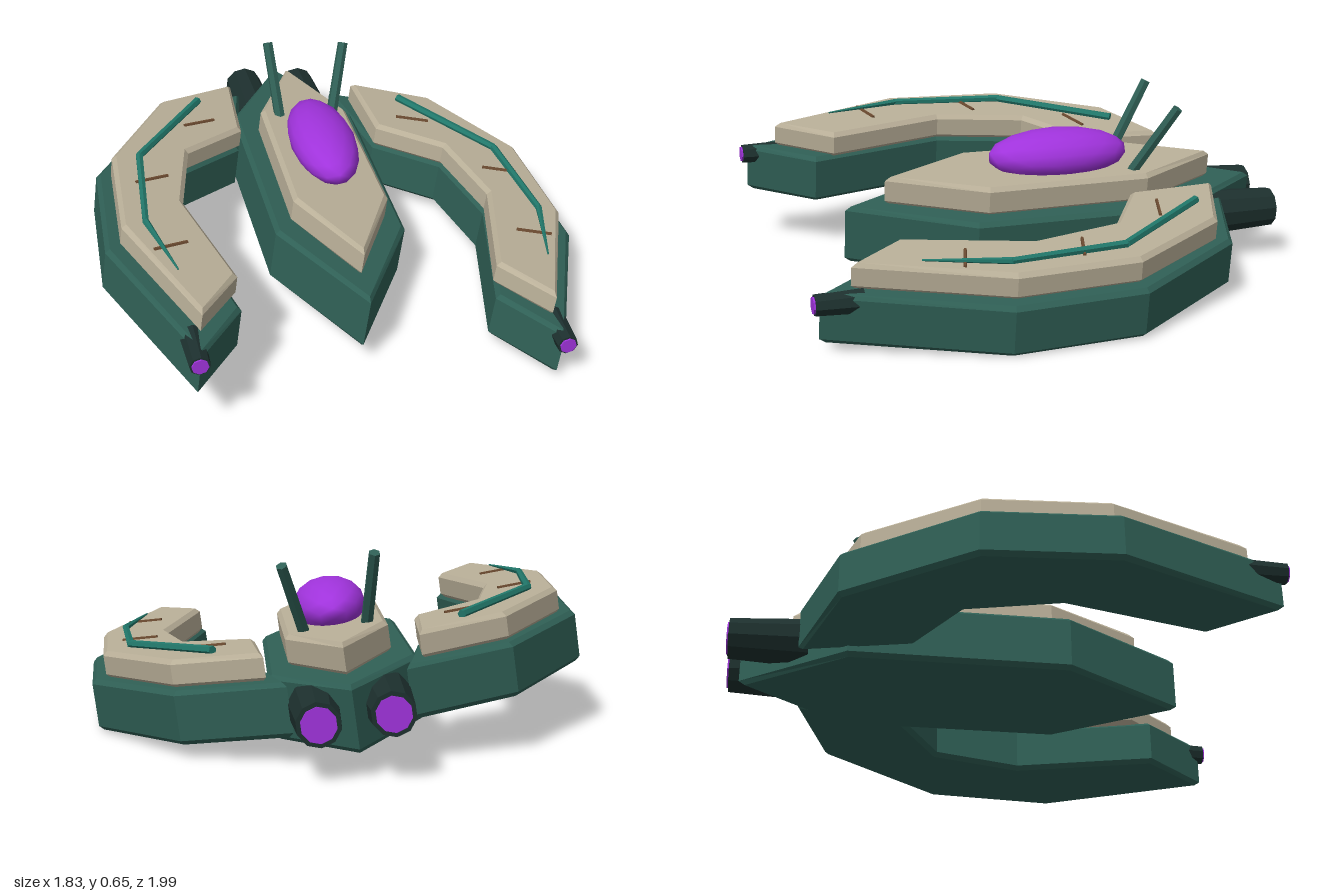
import * as THREE from 'three';

const mat = (name, color) => {
  const m = new THREE.MeshStandardMaterial({ color });
  m.name = name;
  return m;
};

export function createModel() {
  const hullGreen = mat('hullGreen', 0x2f5f55);
  const bone = mat('bone', 0xb9af98);
  const purple = mat('purple', 0xa033dc);
  const vineTeal = mat('vineTeal', 0x21776a);
  const thornBrown = mat('thornBrown', 0x6b4a30);
  const darkMetal = mat('darkMetal', 0x1d302e);

  const ship = new THREE.Group();
  ship.name = 'ship';

  const add = (name, geometry, material) => {
    const mesh = new THREE.Mesh(geometry, material);
    mesh.name = name;
    ship.add(mesh);
    return mesh;
  };

  // Horizontal slab with chamfered rims from an outline of [x, z] points
  const slab = (name, points, bottom, top, bevel, material) => {
    const shape = new THREE.Shape(points.map(([x, z]) => new THREE.Vector2(x, z)));
    const geometry = new THREE.ExtrudeGeometry(shape, {
      depth: top - bottom - 2 * bevel, bevelEnabled: true, bevelSegments: 1,
      bevelThickness: bevel, bevelSize: bevel, bevelOffset: -bevel,
    });
    geometry.rotateX(Math.PI / 2).translate(0, top - bevel, 0);
    return add(name, geometry, material);
  };

  // Faceted rod between two points
  const rod = (name, a, b, rA, rB, sides, material) => {
    const from = new THREE.Vector3(...a), to = new THREE.Vector3(...b);
    const dir = to.clone().sub(from);
    const geometry = new THREE.CylinderGeometry(rB, rA, dir.length(), sides).toNonIndexed();
    geometry.computeVertexNormals();
    const mesh = add(name, geometry, material);
    mesh.position.copy(from).add(to).multiplyScalar(0.5);
    mesh.quaternion.setFromUnitVectors(new THREE.Vector3(0, 1, 0), dir.normalize());
    return mesh;
  };

  // Six-sided outline with a nose and a tail
  const hexagon = (nose, w1, z1, w2, z2, tail) =>
    [[0, nose], [w1, z1], [w2, z2], [0, tail], [-w2, z2], [-w1, z1]];

  // Central body
  slab('centerHull', hexagon(0.47, 0.24, 0.055, 0.24, -0.71, -1.07), -0.04, 0.17, 0.015, hullGreen);
  slab('centerPlate', hexagon(0.33, 0.175, 0, 0.168, -0.59, -0.9), 0.165, 0.27, 0.015, bone);

  // Faceted gem dome
  const gem = add('gemDome', new THREE.IcosahedronGeometry(1, 2), purple);
  gem.scale.set(0.122, 0.088, 0.26);
  gem.position.set(0, 0.31, -0.305);

  // Curved wing outlines, outer edge then inner edge
  const wingHull = [[0.45, 0.475], [0.625, 0.7], [0.855, 0.128], [0.825, -0.33],
    [0.538, -0.755], [0.186, -0.873], [0.265, -0.486], [0.492, -0.34], [0.566, -0.025]];
  const wingPlate = [[0.459, 0.405], [0.612, 0.597], [0.802, 0.108], [0.775, -0.32],
    [0.538, -0.69], [0.245, -0.8], [0.265, -0.484], [0.492, -0.34], [0.566, -0.025]];
  const vine = [[0.4, -0.668], [0.68, -0.3], [0.72, 0.104], [0.655, 0.38]];
  const vineRadii = [0.015, 0.014, 0.012, 0.003];
  const thorns = [[0.42, -0.523], [0.656, -0.16], [0.655, 0.238]];

  for (const s of [1, -1]) {
    const side = s > 0 ? 'left' : 'right';
    const flip = (points) => points.map(([x, z]) => [s * x, z]);

    slab(side + 'WingHull', flip(wingHull), -0.005, 0.17, 0.015, hullGreen);
    slab(side + 'WingPlate', flip(wingPlate), 0.165, 0.258, 0.015, bone);

    // Tapering vine along the wing
    for (let i = 0; i < 3; i++) {
      const [x0, z0] = vine[i], [x1, z1] = vine[i + 1];
      rod(side + 'Vine', [s * x0, 0.267, z0], [s * x1, 0.267, z1],
        vineRadii[i], vineRadii[i + 1], 6, vineTeal);
    }

    // Thorns crossing the vine
    for (const [x, z] of thorns) {
      rod(side + 'Thorn', [s * (x - 0.06), 0.26, z - 0.018], [s * (x + 0.06), 0.26, z + 0.018],
        0.006, 0.006, 5, thornBrown);
    }

    // Wing-tip gun with glowing muzzle
    rod(side + 'Gun', [s * 0.632, 0.135, 0.56], [s * 0.632, 0.135, 0.718], 0.042, 0.036, 8, darkMetal);
    rod(side + 'GunMuzzle', [s * 0.632, 0.135, 0.716], [s * 0.632, 0.135, 0.724], 0.029, 0.029, 8, purple);

    // Tail engine with glowing exhaust
    rod(side + 'Engine', [s * 0.112, 0.075, -0.84], [s * 0.112, 0.075, -1.11], 0.084, 0.07, 10, darkMetal);
    rod(side + 'EngineExhaust', [s * 0.112, 0.075, -1.108], [s * 0.112, 0.075, -1.116], 0.056, 0.056, 10, purple);

    // Splayed antenna
    rod(side + 'Antenna', [s * 0.1, 0.25, -0.55], [s * 0.148, 0.505, -0.69], 0.021, 0.019, 6, hullGreen);
  }

  // Banked and turned pose
  ship.rotation.set(0, -0.609, -0.134, 'YXZ');
  ship.position.set(0.018, 0.12, 0.013);

  const model = new THREE.Group();
  model.name = 'model';
  model.add(ship);
  return model;
}
